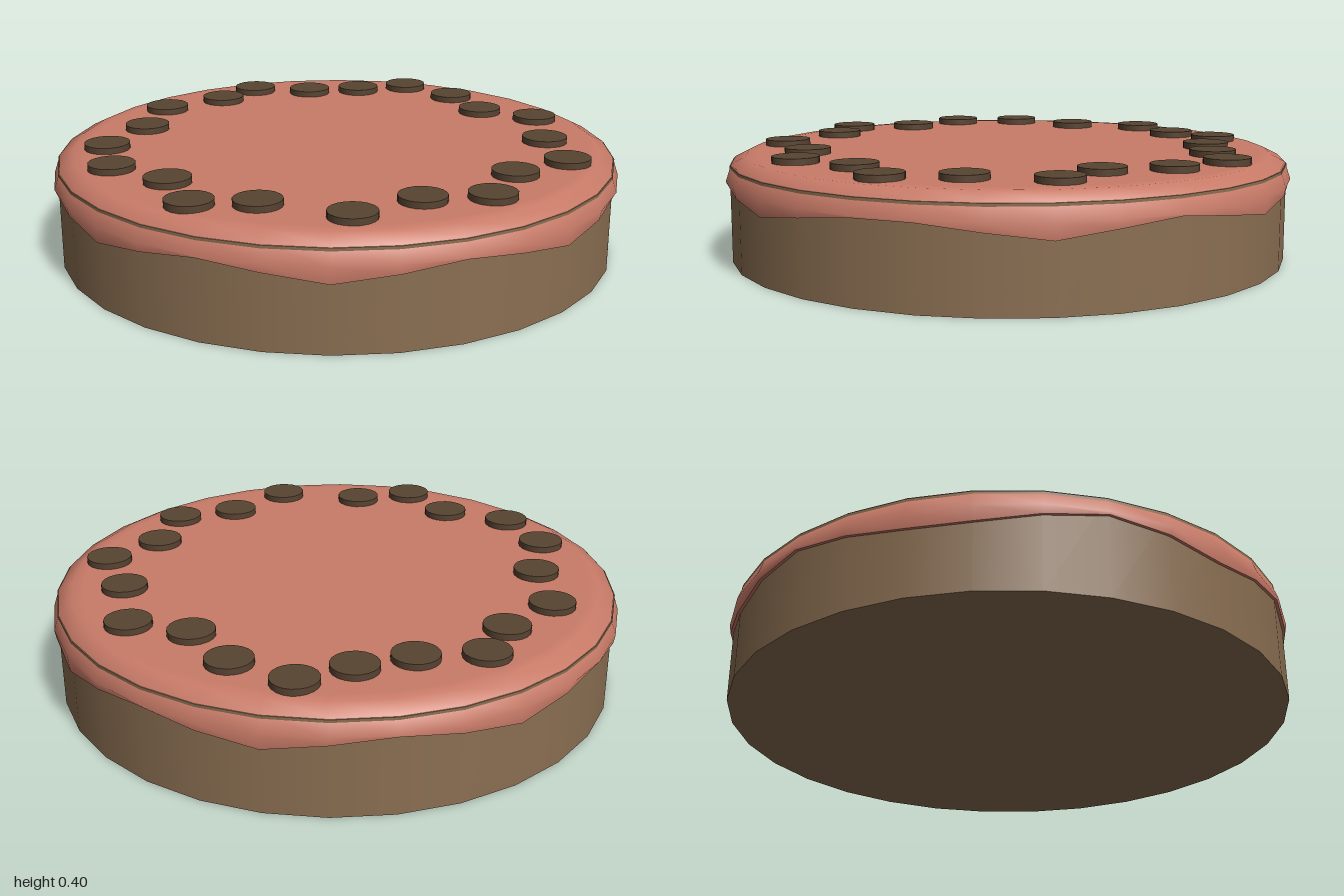
import * as THREE from 'three';

const SIDES = 30;

// Height of the wavy lower icing edge at each corner of the 30-sided outline
function dripHeight(i) {
  const k = Math.min(i, SIDES - 1 - i);
  return [0.278, 0.255, 0.23, 0.258][k % 4];
}

// Lathe whose points marked 'drip' follow the wavy lower edge
function icingLathe(profile) {
  const points = profile.map(([r, y]) => new THREE.Vector2(r, y === 'drip' ? 0.25 : y));
  const geo = new THREE.LatheGeometry(points, SIDES, Math.PI / 2);
  const pos = geo.attributes.position;
  for (let v = 0; v < pos.count; v++) {
    const corner = (SIDES - Math.floor(v / profile.length)) % SIDES;
    if (profile[v % profile.length][1] === 'drip') pos.setY(v, dripHeight(corner));
  }
  return geo;
}

export function createModel() {
  const group = new THREE.Group();
  const cakeMat = new THREE.MeshStandardMaterial({ color: 0x8b6f52 });
  const icingMat = new THREE.MeshStandardMaterial({ color: 0xc97b68 });
  const chipMat = new THREE.MeshStandardMaterial({ color: 0x584432 });

  const add = (parent, name, geo, mat) => {
    const mesh = new THREE.Mesh(geo, mat);
    mesh.name = name;
    parent.add(mesh);
    return mesh;
  };

  // Cake base
  const cakeGeo = new THREE.CylinderGeometry(0.985, 0.985, 0.34, SIDES, 1, false, Math.PI / 2);
  add(group, 'cakeBase', cakeGeo, cakeMat).position.y = 0.17;

  // Icing: rounded cap with a wavy rim, and the narrow underside of the rim
  const icing = new THREE.Group();
  icing.name = 'icing';
  group.add(icing);
  add(icing, 'icingCap', icingLathe([
    [0.995, 'drip'], [1.0, 0.285], [0.98, 0.345], [0.93, 0.37], [0.89, 0.373], [0, 0.373],
  ]), icingMat);
  add(icing, 'icingUnderside', icingLathe([[0.97, 'drip'], [0.995, 'drip']]), icingMat);

  // Ring of chocolate chips, as x, z
  const chips = [
    [0.02, -0.83], [0.24, -0.73], [0.4, -0.55], [0.62, -0.51], [0.71, -0.23], [0.83, 0],
    [0.69, 0.19], [0.67, 0.44], [0.47, 0.54], [0.31, 0.75], [0, 0.74], [-0.2, 0.81],
    [-0.36, 0.63], [-0.6, 0.56], [-0.73, 0.35], [-0.71, 0.08], [-0.76, -0.19],
    [-0.61, -0.39], [-0.55, -0.58], [-0.33, -0.63], [-0.15, -0.72],
  ];
  const chipGeo = new THREE.CylinderGeometry(0.08, 0.08, 0.04, 20);
  const chipRing = new THREE.Group();
  chipRing.name = 'chips';
  group.add(chipRing);
  for (const [x, z] of chips) add(chipRing, 'chip', chipGeo, chipMat).position.set(x, 0.375, z);

  return group;
}
